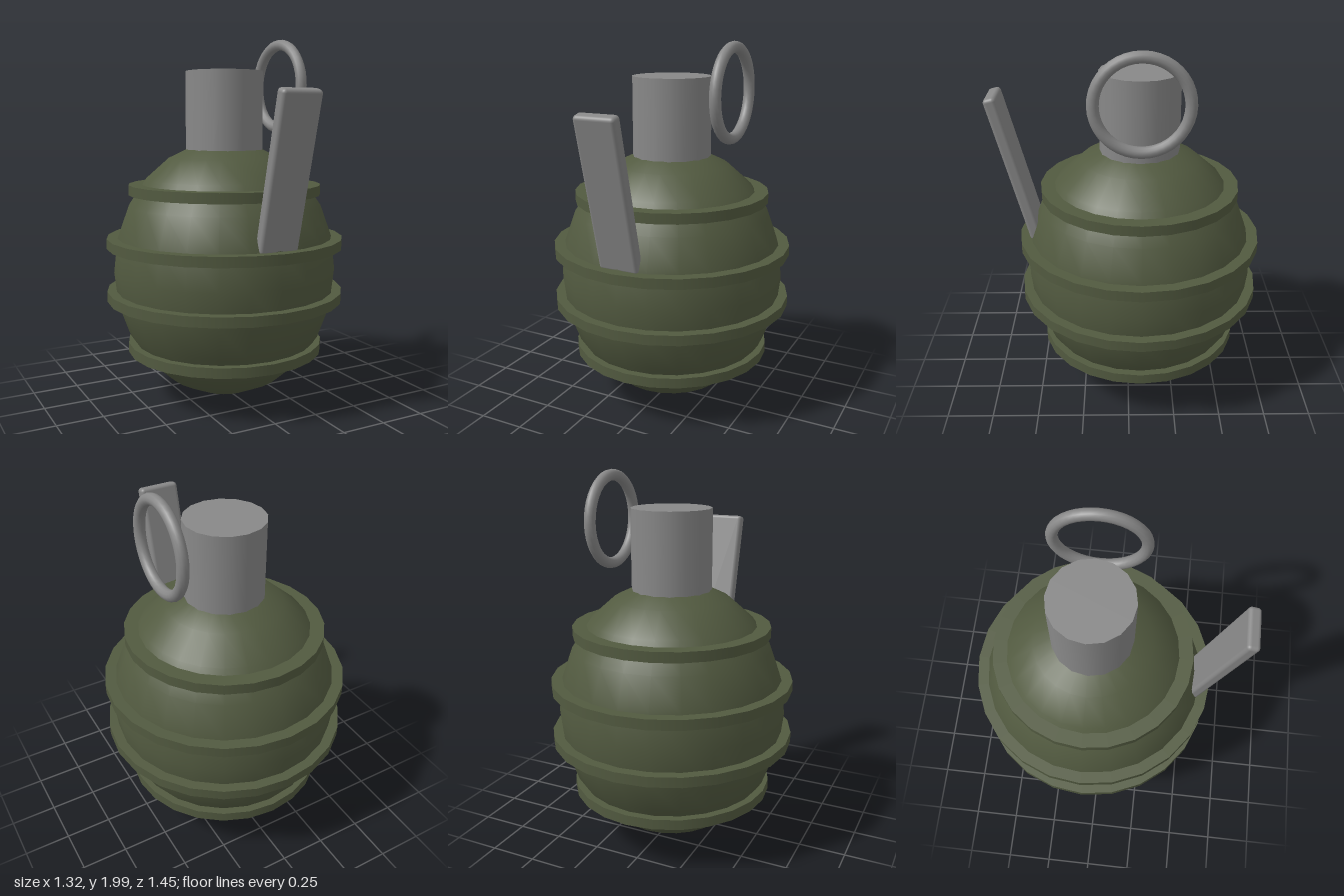
import * as THREE from 'three';
import { RoundedBoxGeometry } from 'three/addons/geometries/RoundedBoxGeometry.js';

export function createModel() {
  const model = new THREE.Group();
  model.name = 'grenade';

  const green = new THREE.MeshStandardMaterial({ color: 0x525a40 });
  green.name = 'olive green';
  const grey = new THREE.MeshStandardMaterial({ color: 0x888888 });
  grey.name = 'steel grey';

  const axisZ = -0.063; // the body's axis sits a little behind the centre

  function add(name, geometry, material, x, y, z) {
    const mesh = new THREE.Mesh(geometry, material);
    mesh.name = name;
    mesh.position.set(x, y, z);
    model.add(mesh);
    return mesh;
  }

  // Egg-shaped body
  const body = add('body', new THREE.SphereGeometry(0.62, 24, 12), green, 0, 0.723, axisZ);
  body.scale.y = 1.155;

  // Raised bands: [height, radius]
  const bands = [[0.292, 0.547], [0.587, 0.66], [0.882, 0.658], [1.173, 0.533]];
  bands.forEach(([y, radius], i) => {
    add(`band${i + 1}`, new THREE.CylinderGeometry(radius, radius, 0.055, 24), green, 0, y, axisZ);
  });

  // Neck
  add('neck', new THREE.CylinderGeometry(0.213, 0.213, 0.435, 16), grey, 0, 1.598, axisZ);

  // Safety lever, leaning forward at the top
  const lever = add('lever', new RoundedBoxGeometry(0.222, 0.82, 0.067, 3, 0.02), grey, 0, 1.3, 0.598);
  lever.rotation.x = 0.25;

  // Pull ring at the left side
  const pullRing = add('pullRing', new THREE.TorusGeometry(0.232, 0.03, 12, 40), grey, 0.35, 1.738, axisZ);
  pullRing.rotation.y = Math.PI / 2;

  return model;
}
